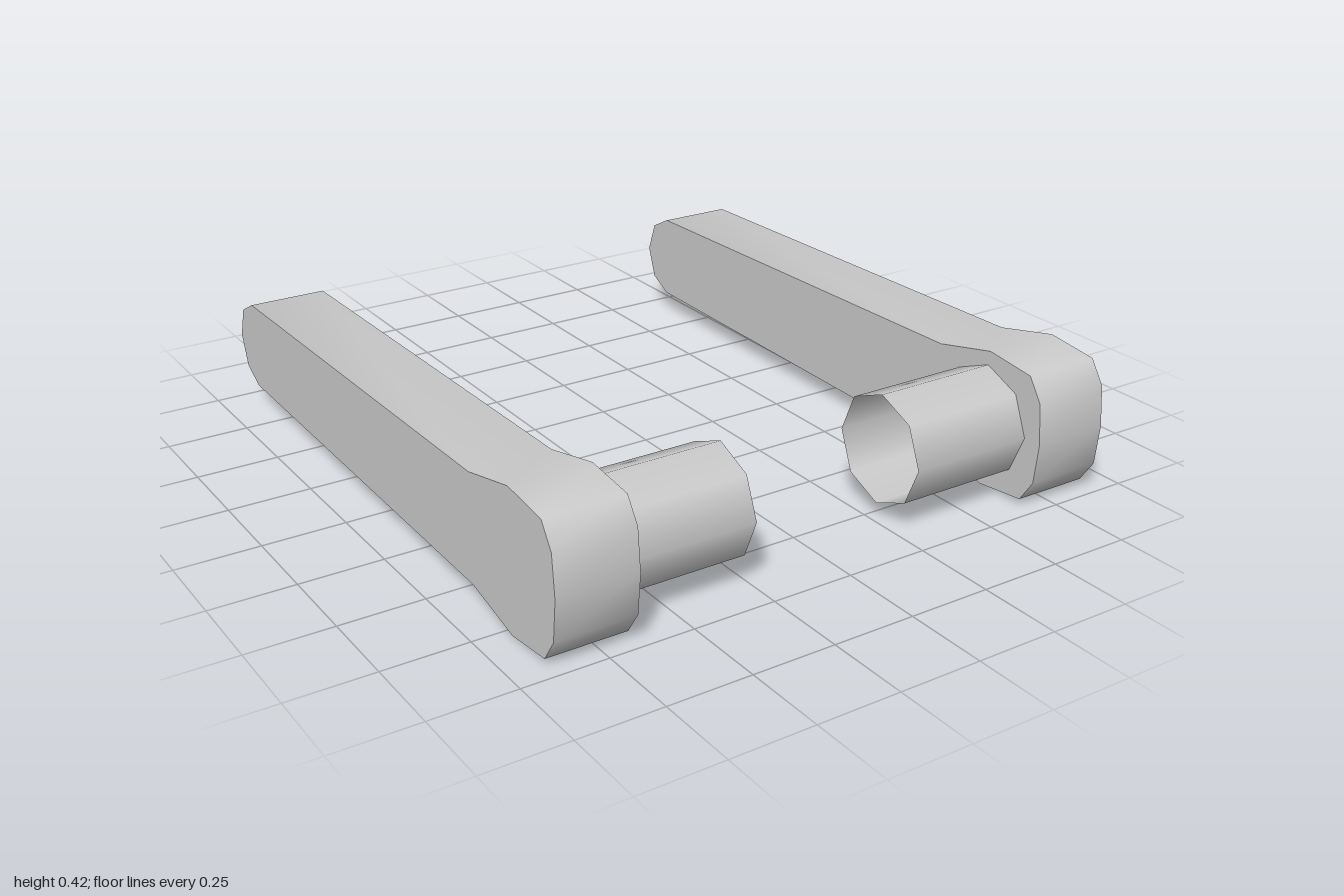
import * as THREE from 'three';
import { toCreasedNormals } from 'three/addons/utils/BufferGeometryUtils.js';

const MID = 0.209;      // height of the arm's centre line
const OUTER = 0.9, INNER = 0.66, TUBE_END = 0.27;

// Upper half of the arm outline: [z, height above the centre line]
const HALF = [
  [1, 0], [0.988, 0.122], [0.942, 0.191], [0.78, 0.209], [0.575, 0.162],
  [-0.885, 0.137], [-0.965, 0.096], [-1, 0],
];

function armGeometry() {
  const lower = HALF.slice(1, -1).reverse().map(([z, h]) => [z, -h]);
  const shape = new THREE.Shape([...HALF, ...lower].map(([z, h]) => new THREE.Vector2(z, h)));
  const depth = OUTER - INNER;
  const geo = new THREE.ExtrudeGeometry(shape, { depth, bevelEnabled: false });
  geo.translate(0, 0, -depth / 2);
  geo.rotateY(-Math.PI / 2); // outline runs along z, thickness along x
  return toCreasedNormals(geo, 1.2);
}

export function createModel() {
  const model = new THREE.Group();
  model.name = 'crankPair';
  const solid = new THREE.MeshStandardMaterial({ color: 0xcccccc });
  const open = new THREE.MeshStandardMaterial({ color: 0xcccccc, side: THREE.DoubleSide });

  const armGeo = armGeometry();
  // Open eight-sided tube lying along x
  const tubeGeo = new THREE.CylinderGeometry(0.166, 0.166, INNER - TUBE_END, 8, 1, true);
  tubeGeo.rotateZ(Math.PI / 2);

  for (const [side, name] of [[1, 'left'], [-1, 'right']]) {
    const crank = new THREE.Group();
    crank.name = name + 'Crank';

    const arm = new THREE.Mesh(armGeo, solid);
    arm.name = name + 'Arm';
    arm.position.set(side * (OUTER + INNER) / 2, MID, 0);

    const tube = new THREE.Mesh(tubeGeo, open);
    tube.name = name + 'AxleTube';
    tube.position.set(side * (INNER + TUBE_END) / 2, MID, 0.775);

    crank.add(arm, tube);
    model.add(crank);
  }
  return model;
}
